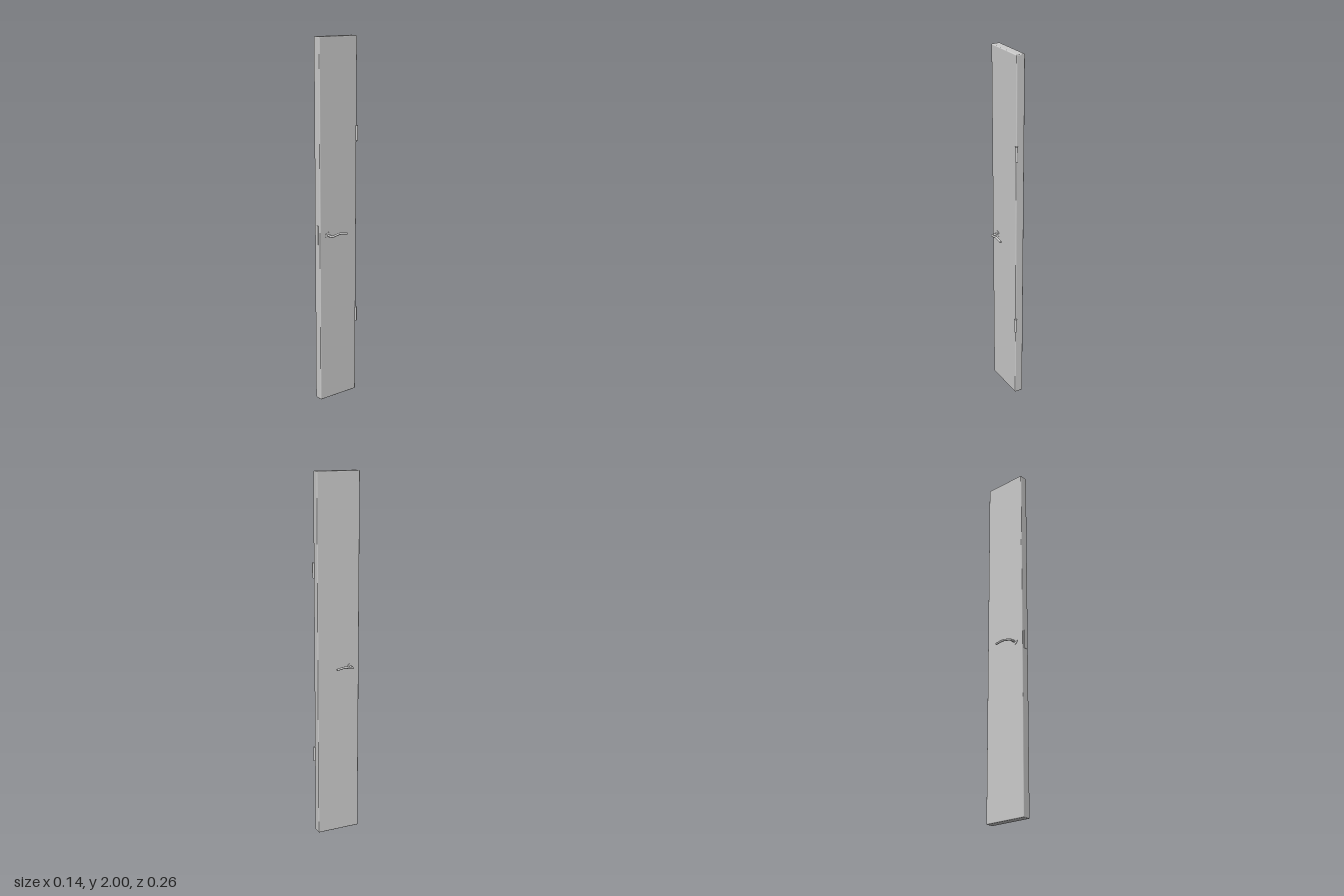
import * as THREE from 'three';
import { RoundedBoxGeometry } from 'three/addons/geometries/RoundedBoxGeometry.js';

const material = new THREE.MeshStandardMaterial({ color: 0xcccccc });

function part(parent, name, geometry, x = 0, y = 0, z = 0) {
  const mesh = new THREE.Mesh(geometry, material);
  mesh.name = name;
  mesh.position.set(x, y, z);
  parent.add(mesh);
  return mesh;
}

// Lever handle: a straight neck, a rounded bend and a gently arched grip
function addHandle(parent, side) {
  const handle = new THREE.Group();
  handle.name = side > 0 ? 'leftHandle' : 'rightHandle';
  parent.add(handle);

  const v = (x, y, z) => new THREE.Vector3(side * x, y, z);
  const path = new THREE.CurvePath();
  path.add(new THREE.LineCurve3(v(0.02, 0.952, 0.071), v(0.052, 0.952, 0.071)));
  path.add(new THREE.QuadraticBezierCurve3(
    v(0.052, 0.952, 0.071), v(0.062, 0.952, 0.071), v(0.062, 0.954, 0.061)));
  path.add(new THREE.CatmullRomCurve3([
    v(0.062, 0.954, 0.061), v(0.062, 0.957, 0.043), v(0.062, 0.961, 0.022),
    v(0.062, 0.959, 0.002), v(0.062, 0.954, -0.028)]));
  part(handle, 'lever', new THREE.TubeGeometry(path, 48, 0.006, 12, false));

  // Flat cap closing the free end
  const cap = part(handle, 'leverEnd', new THREE.CircleGeometry(0.006, 12),
    side * 0.062, 0.954, -0.028);
  cap.rotation.y = Math.PI;

  const rosette = part(handle, 'rosette',
    new THREE.CylinderGeometry(0.018, 0.018, 0.004, 32), side * 0.0245, 0.952, 0.071);
  rosette.rotation.z = Math.PI / 2;
}

export function createModel() {
  const door = new THREE.Group();
  door.name = 'door';

  // Door leaf with softened edges
  part(door, 'doorLeaf', new RoundedBoxGeometry(0.048, 2, 0.246, 3, 0.005), 0, 1, 0);

  // Lock plate and latch bolt on the front edge
  part(door, 'lockPlate', new THREE.BoxGeometry(0.018, 0.105, 0.004), 0, 0.957, 0.1235);

  for (const side of [-1, 1]) addHandle(door, side);

  // Hinge barrels on the rear left corner
  for (const y of [0.46, 1.488]) {
    part(door, 'hinge', new THREE.CylinderGeometry(0.0075, 0.0075, 0.082, 20), 0.0225, y, -0.1235);
  }
  return door;
}
